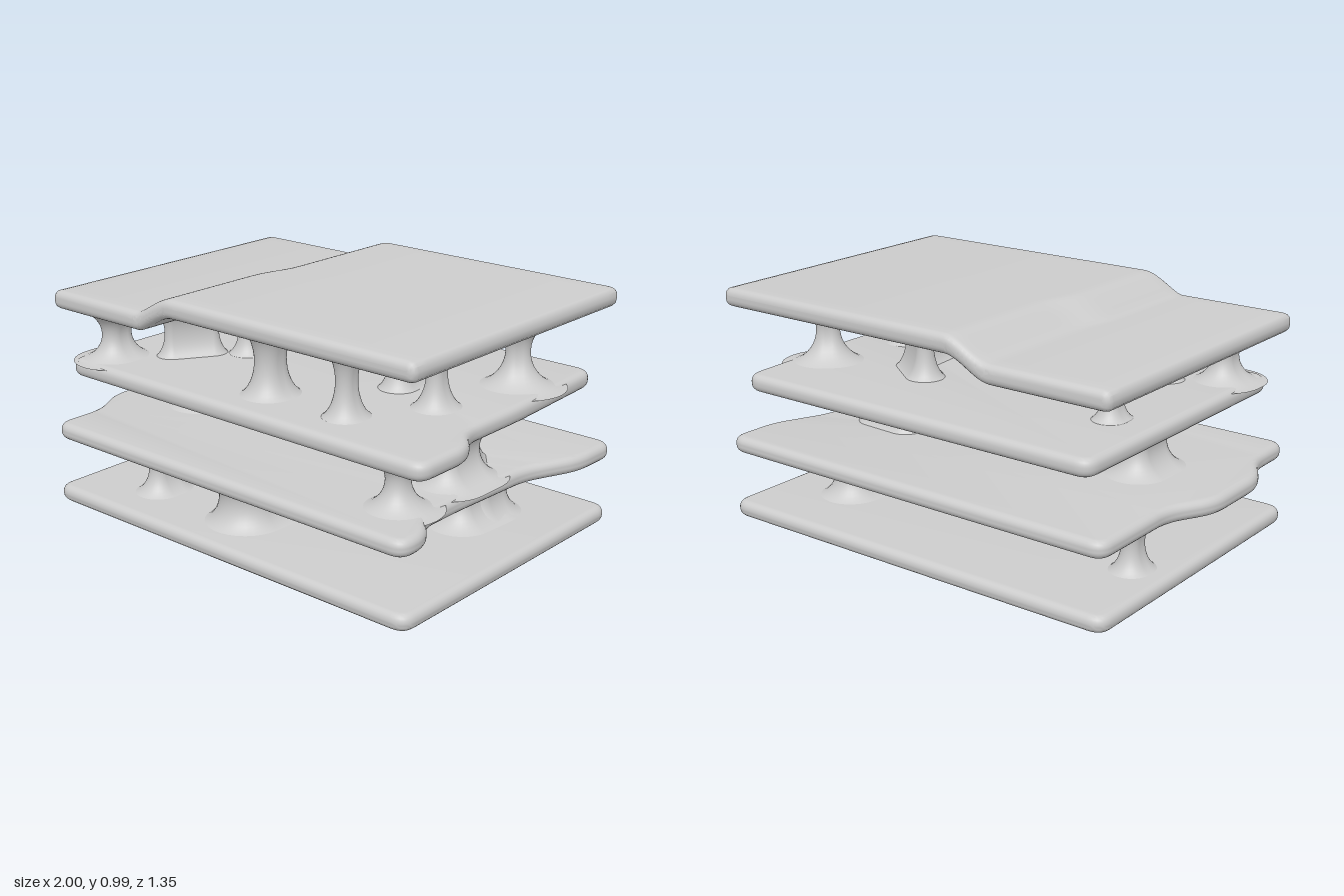
import * as THREE from 'three';
import { toCreasedNormals } from 'three/addons/utils/BufferGeometryUtils.js';

const material = new THREE.MeshStandardMaterial({ color: 0xcccccc });

function addMesh(parent, name, geometry) {
  const mesh = new THREE.Mesh(geometry, material);
  mesh.name = name;
  parent.add(mesh);
}

// Closed polygon with every corner rounded by a radius
function roundedShape(points, radius) {
  const p = points.map(([x, y]) => new THREE.Vector2(x, y));
  const shape = new THREE.Shape();
  p.forEach((c, i) => {
    const prev = p[(i + p.length - 1) % p.length], next = p[(i + 1) % p.length];
    const toward = (q) => c.clone().lerp(q, Math.min(0.48, radius / c.distanceTo(q)));
    const a = toward(prev), b = toward(next);
    if (i === 0) shape.moveTo(a.x, a.y); else shape.lineTo(a.x, a.y);
    shape.quadraticCurveTo(c.x, c.y, b.x, b.y);
  });
  shape.closePath();
  return shape;
}

// Flat slab with soft edges; outline given as [x, z]
function slab(outline, bottom, top) {
  const b = 0.03;
  const g = new THREE.ExtrudeGeometry(roundedShape(outline, 0.07), {
    depth: top - bottom - 2 * b, bevelThickness: b, bevelSize: b, bevelOffset: -b,
    bevelSegments: 5, curveSegments: 8,
  });
  g.rotateX(Math.PI / 2).translate(0, top - b, 0);
  return toCreasedNormals(g, 0.6);
}

// Height of the roof top across x: low on the right, raised on the left
const smooth = THREE.MathUtils.smoothstep;
const roofTop = (x) => 0.91 + 0.08 * smooth(x, -0.4, -0.19);

// Stepped roof: a front profile run along z
function steppedRoof() {
  const x0 = -0.92, x1 = 0.955, h = 0.078, b = 0.03, back = -0.675, front = 0.638;
  const xs = [x0];
  for (let i = 0; i <= 14; i++) xs.push(-0.42 + i * 0.018);
  xs.push(x1);
  const profile = [
    ...xs.map((x) => [x, roofTop(x) - h]),
    ...xs.slice().reverse().map((x) => [x, roofTop(x)]),
  ];
  const g = new THREE.ExtrudeGeometry(roundedShape(profile, 0.035), {
    depth: front - back - 2 * b, steps: 24, bevelThickness: b, bevelSize: b,
    bevelOffset: -b, bevelSegments: 5, curveSegments: 3,
  });
  g.translate(0, 0, back + b);
  // The step sits a little further right towards the front
  const pos = g.attributes.position;
  for (let i = 0; i < pos.count; i++) {
    const x = pos.getX(i);
    const near = smooth(x, -0.5, -0.3) * (1 - smooth(x, -0.2, 0.0));
    pos.setX(i, x - 0.04 * near * smooth(pos.getZ(i), -0.1, 0.12));
  }
  return toCreasedNormals(g, 0.6);
}

// Post or wall between two floor points, waisted, flaring into floor and ceiling
function flaredWall([ax, az], [bx, bz], radius, flare, y0, y1) {
  const rings = 20, sides = 32, position = [], index = [];
  const heading = Math.atan2(bz - az, bx - ax);
  for (let j = 0; j <= rings; j++) {
    const t = 0.5 - 0.5 * Math.cos((j / rings) * Math.PI);
    const u = Math.abs(2 * t - 1);
    const r = radius + flare * (1 - Math.sqrt(1 - u * u));
    for (let i = 0; i < sides; i++) {
      const half = sides / 2, atB = i < half;
      const k = (atB ? i : i - half) / (half - 1);
      const a = heading + (atB ? -Math.PI / 2 : Math.PI / 2) + k * Math.PI;
      position.push((atB ? bx : ax) + r * Math.cos(a), y0 + (y1 - y0) * t,
        (atB ? bz : az) + r * Math.sin(a));
    }
  }
  for (let j = 0; j < rings; j++) {
    for (let i = 0; i < sides; i++) {
      const n = (i + 1) % sides;
      const p = j * sides + i, q = j * sides + n;
      index.push(p, p + sides, q, q, p + sides, q + sides);
    }
  }
  const g = new THREE.BufferGeometry();
  g.setAttribute('position', new THREE.Float32BufferAttribute(position, 3));
  g.setIndex(index);
  g.computeVertexNormals();
  return g;
}

export function createModel() {
  const model = new THREE.Group();
  model.name = 'steppedDecks';

  // Decks
  addMesh(model, 'baseSlab', slab(
    [[-0.91, -0.675], [0.965, -0.675], [0.965, 0.675], [-0.91, 0.675]], 0, 0.068));
  addMesh(model, 'lowerSlab', slab([
    [-0.9, -0.665], [0.975, -0.665], [0.97, -0.43], [0.87, -0.2], [0.85, 0.2], [0.85, 0.42],
    [0.95, 0.53], [0.95, 0.675], [-0.9, 0.675], [-0.9, 0.44], [-1, 0.27], [-1, -0.05], [-0.9, -0.23],
  ], 0.28, 0.35));
  addMesh(model, 'middleSlab', slab([
    [-0.83, -0.655], [0.87, -0.655], [0.9, -0.1], [0.9, 0.24], [0.998, 0.36],
    [0.998, 0.638], [-0.83, 0.638],
  ], 0.565, 0.637));
  addMesh(model, 'roofSlab', steppedRoof());

  // Supports per storey: start [x, z], end [x, z], waist radius, flare
  const storeys = [
    { name: 'lowerSupport', y0: 0.058, y1: 0.29, walls: [
      [[-0.75, -0.25], [-0.75, -0.22], 0.037, 0.08],
      [[-0.53, 0.38], [-0.53, 0.44], 0.04, 0.1],
      [[-0.39, -0.18], [-0.39, -0.16], 0.033, 0.06],
      [[-0.05, 0.27], [-0.05, 0.41], 0.11, 0.1],
      [[0.62, -0.31], [0.62, -0.22], 0.07, 0.11],
      [[0.63, -0.28], [0.62, -0.12], 0.05, 0.14],
    ] },
    { name: 'middleSupport', y0: 0.34, y1: 0.575, walls: [
      [[-0.61, 0.0], [-0.61, 0.12], 0.05, 0.13],
      [[-0.58, 0.08], [-0.05, 0.06], 0.045, 0.07],
      [[0.285, 0.07], [0.285, 0.09], 0.035, 0.06],
      [[0.73, 0.42], [0.73, 0.43], 0.045, 0.13],
      [[0.73, 0.0], [0.73, 0.13], 0.045, 0.12],
      [[0.73, 0.0], [0.62, -0.14], 0.045, 0.06],
      [[0.62, -0.14], [0.45, -0.15], 0.045, 0.06],
    ] },
    { name: 'upperSupport', y0: 0.627, y1: 0.92, walls: [
      [[0.095, 0.4], [0.095, 0.43], 0.052, 0.09],
      [[0.48, 0.41], [0.48, 0.43], 0.036, 0.08],
      [[0.665, 0.11], [0.665, 0.13], 0.034, 0.09],
      [[0.75, -0.31], [0.73, -0.29], 0.035, 0.15],
      [[0.42, 0.04], [0.4, -0.14], 0.035, 0.07],
      [[0.4, -0.14], [0.26, -0.24], 0.035, 0.07],
    ] },
    { name: 'lowRoofSupport', y0: 0.627, y1: 0.845, walls: [
      [[-0.71, 0.46], [-0.71, 0.5], 0.045, 0.12],
      [[-0.63, -0.23], [-0.63, -0.2], 0.03, 0.07],
      [[-0.54, 0.33], [-0.45, 0.19], 0.03, 0.06],
      [[-0.33, 0.08], [-0.33, 0.1], 0.038, 0.07],
    ] },
  ];
  for (const { name, y0, y1, walls } of storeys) {
    const group = new THREE.Group();
    group.name = name + 's';
    walls.forEach(([a, b, r, f]) => addMesh(group, name, flaredWall(a, b, r, f, y0, y1)));
    model.add(group);
  }
  return model;
}
